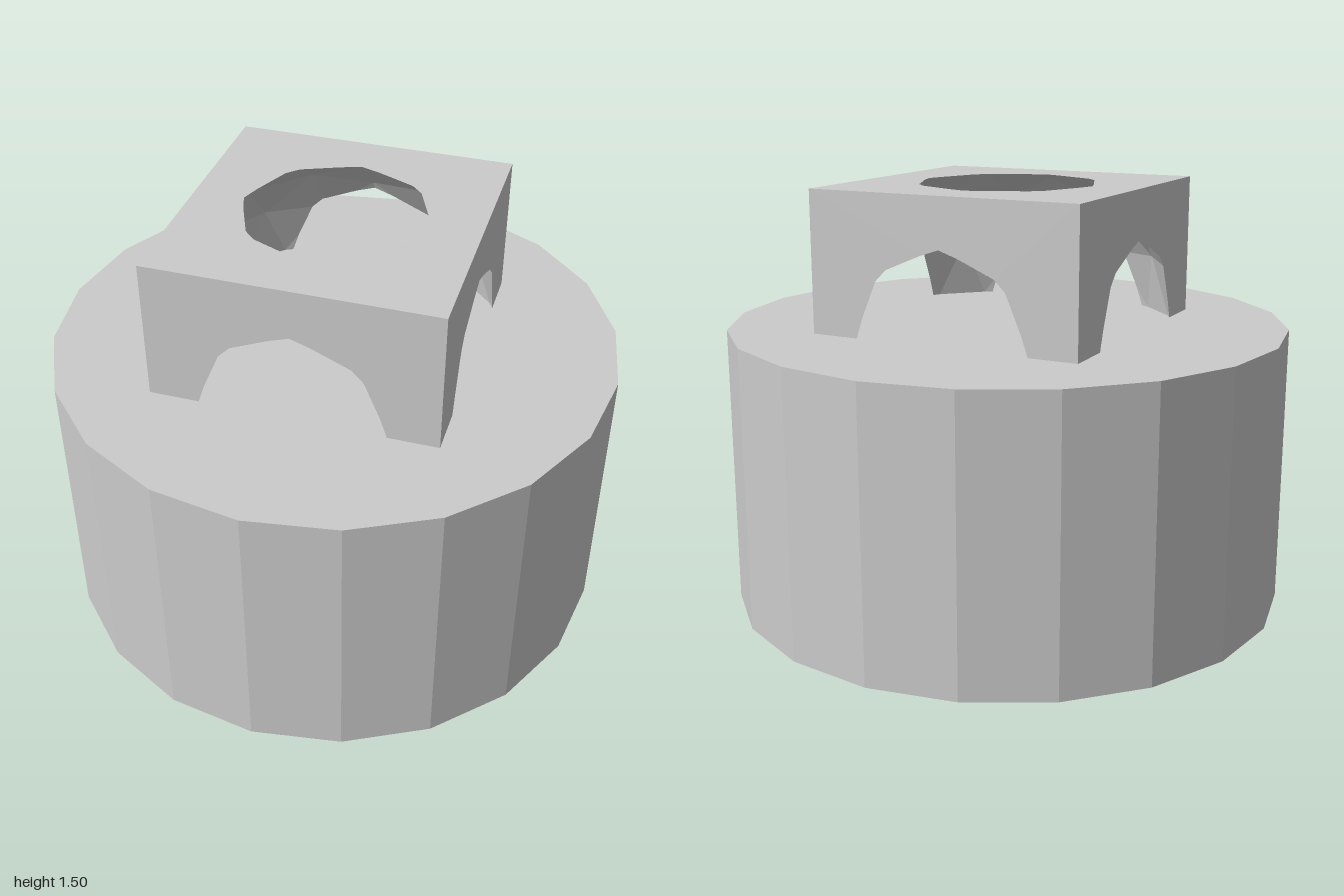
import * as THREE from 'three';

const HALF = 0.5;   // half side of the block
const R = 0.6;      // radius of the hollow
const N = 5;        // subdivisions per octant edge of the hollow

// One quadrant of the opening where the faceted hollow meets a block face
const QUADRANT = [[0.324, 0], [0.301, 0.069], [0.244, 0.203], [0.203, 0.244], [0.069, 0.301], [0, 0.324]];

// Cut a convex polygon, keeping the side where axis * sign <= limit
function clip(poly, axis, sign, limit) {
  const out = [];
  poly.forEach((a, i) => {
    const b = poly[(i + 1) % poly.length];
    const da = a.getComponent(axis) * sign - limit;
    const db = b.getComponent(axis) * sign - limit;
    if (da <= 0) out.push(a);
    if (da * db < 0) out.push(a.clone().lerp(b, da / (da - db)));
  });
  return out;
}

// Inside facets: four octants of a subdivided octahedral sphere, trimmed by the block
function hollowGeometry() {
  const pos = [];
  const wave = (k) => Math.sin((k / N) * Math.PI / 2);
  const addFacet = (tri) => {
    let poly = tri;
    for (const [axis, sign] of [[0, 1], [0, -1], [1, 1], [2, 1], [2, -1]]) {
      poly = clip(poly, axis, sign, HALF);
    }
    for (let i = 1; i + 1 < poly.length; i++) {
      const [a, b, c] = [poly[0], poly[i], poly[i + 1]];
      const n = b.clone().sub(a).cross(c.clone().sub(a));
      const order = n.dot(a) < 0 ? [a, b, c] : [a, c, b]; // face the centre
      order.forEach((p) => pos.push(p.x, p.y, p.z));
    }
  };
  for (const sx of [1, -1]) for (const sz of [1, -1]) {
    const v = (i, j) => new THREE.Vector3(sx * wave(i), wave(j), sz * wave(N - i - j)).setLength(R);
    for (let i = 0; i < N; i++) for (let j = 0; i + j < N; j++) {
      addFacet([v(i, j), v(i + 1, j), v(i, j + 1)]);
      if (i + j < N - 1) addFacet([v(i + 1, j), v(i + 1, j + 1), v(i, j + 1)]);
    }
  }
  const geo = new THREE.BufferGeometry();
  geo.setAttribute('position', new THREE.Float32BufferAttribute(pos, 3));
  geo.computeVertexNormals();
  return geo;
}

export function createModel() {
  const group = new THREE.Group();
  const solid = new THREE.MeshStandardMaterial({ color: 0xcccccc, flatShading: true });
  const thin = new THREE.MeshStandardMaterial({ color: 0xcccccc, flatShading: true, side: THREE.DoubleSide });
  const add = (name, geo, mat, parent) => {
    const mesh = new THREE.Mesh(geo, mat);
    mesh.name = name;
    parent.add(mesh);
    return mesh;
  };

  // Twenty-sided drum
  add('base', new THREE.CylinderGeometry(1, 1, 1, 20), solid, group).position.y = 0.5;

  // Hollowed block standing on the drum
  const block = new THREE.Group();
  block.name = 'hollowBlock';
  block.position.y = 1;
  group.add(block);

  // Four arched walls
  const upper = [...QUADRANT, ...QUADRANT.slice(0, -1).reverse().map(([x, y]) => [-x, y])];
  const arch = new THREE.Shape([[HALF, 0], [HALF, HALF], [-HALF, HALF], [-HALF, 0], ...upper.slice().reverse()]
    .map(([x, y]) => new THREE.Vector2(x, y)));
  const archGeo = new THREE.ShapeGeometry(arch).translate(0, 0, HALF);
  for (let i = 0; i < 4; i++) {
    add('archedWall', archGeo, thin, block).rotation.y = i * Math.PI / 2;
  }

  // Top plate with its round opening
  const plate = new THREE.Shape([[-HALF, -HALF], [HALF, -HALF], [HALF, HALF], [-HALF, HALF]]
    .map(([x, y]) => new THREE.Vector2(x, y)));
  const ring = [...upper, ...upper.slice(1, -1).map(([x, y]) => [-x, -y])];
  plate.holes.push(new THREE.Path(ring.map(([x, y]) => new THREE.Vector2(x, y))));
  const plateGeo = new THREE.ShapeGeometry(plate).rotateX(-Math.PI / 2).translate(0, HALF, 0);
  add('topPlate', plateGeo, thin, block);

  // Faceted inside
  add('hollow', hollowGeometry(), thin, block);

  return group;
}
